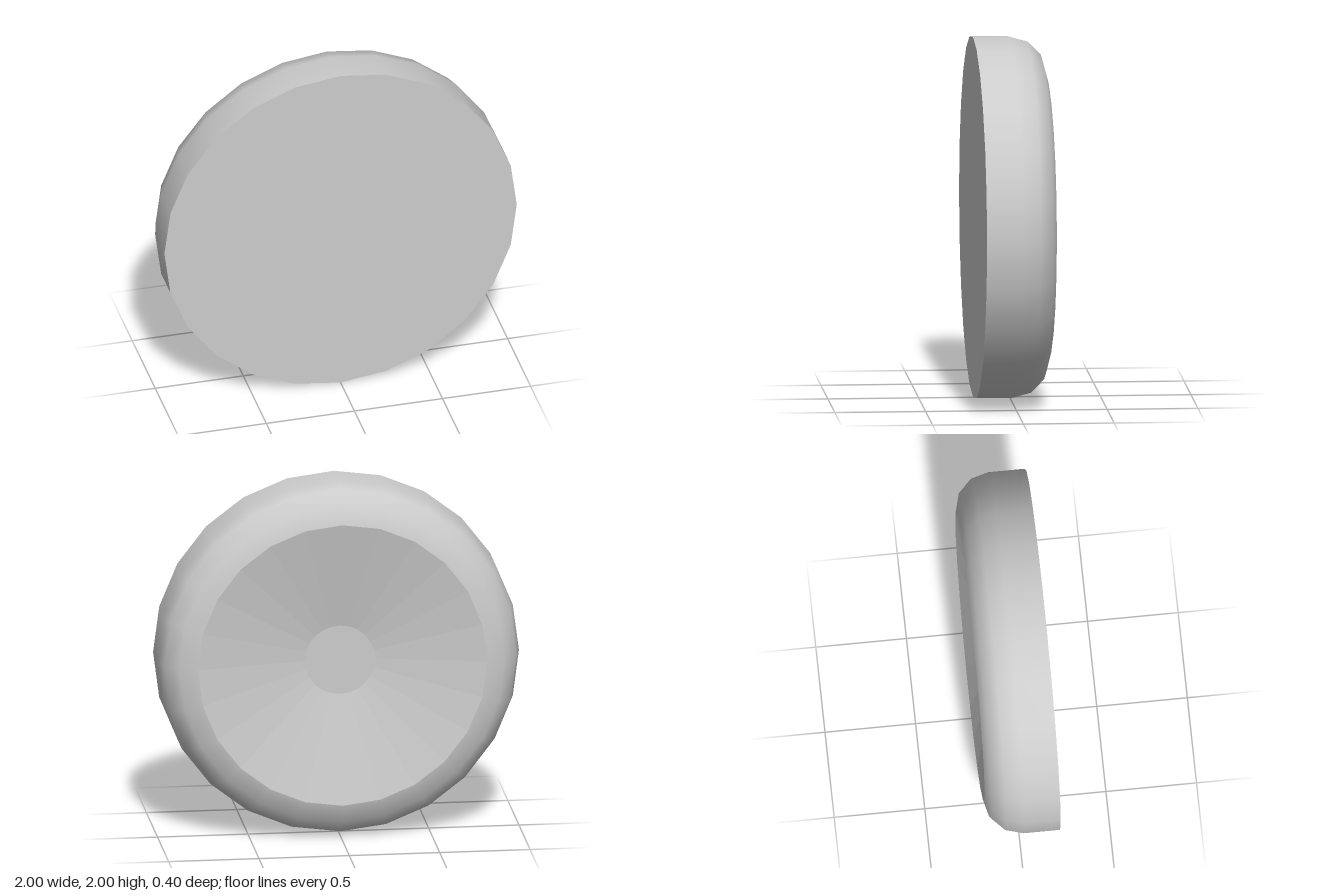
import * as THREE from 'three';

const SIDES = 24;

export function createModel() {
  const group = new THREE.Group();
  const smooth = new THREE.MeshStandardMaterial({ color: 0xcccccc });
  const flat = new THREE.MeshStandardMaterial({ color: 0xcccccc, flatShading: true });

  const add = (name, geometry, material) => {
    const mesh = new THREE.Mesh(geometry, material);
    mesh.name = name;
    mesh.position.y = 1;
    group.add(mesh);
  };
  // Profiles are [radius, distance towards the back]
  const lathe = (profile) => new THREE.LatheGeometry(
    profile.map(([r, h]) => new THREE.Vector2(r, h)), SIDES).rotateX(-Math.PI / 2);

  // Straight side that rounds over towards the back
  const rim = [[1, -0.2]];
  for (let i = 0; i <= 3; i++) {
    const a = (i / 3) * Math.PI / 2;
    rim.push([0.8 + 0.2 * Math.cos(a), 0.2 * Math.sin(a)]);
  }
  add('roundedRim', lathe(rim), smooth);

  // Flat front face
  add('frontFace', new THREE.CircleGeometry(1, SIDES).translate(0, 0, 0.2), flat);

  // Faceted conical recess in the back and its small flat floor
  add('backRecess', lathe([[0.8, 0.2], [0.195, 0.08]]), flat);
  add('recessFloor',
    new THREE.CircleGeometry(0.195, SIDES).rotateY(Math.PI).translate(0, 0, -0.08), flat);

  return group;
}
